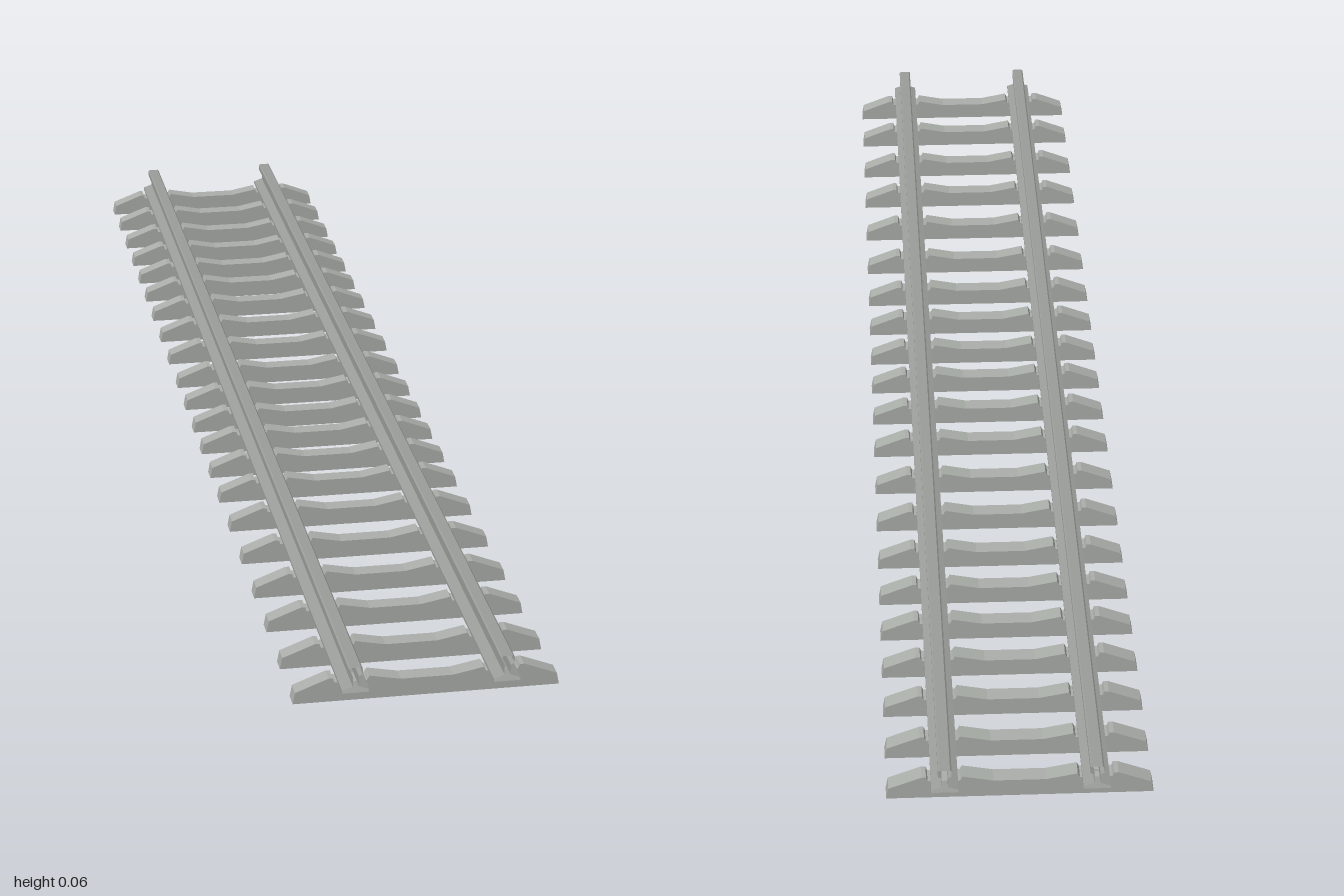
import * as THREE from 'three';

const concrete = new THREE.MeshStandardMaterial({ color: 0xa9ada8 });
concrete.name = 'concrete grey';
const steel = new THREE.MeshStandardMaterial({ color: 0x999c99, side: THREE.DoubleSide });
steel.name = 'steel grey';

// Mirror the right half of an outline (bottom to top) into a counter-clockwise loop
const mirrored = half => [...half, ...half.map(([x, y]) => [-x, y]).reverse()];

// Sleeper: raised shoulders hold each rail seat, with a dipped middle
function sleeperGeometry(width) {
  const outline = mirrored([
    [0.177, 0], [0.174, 0.016], [0.13, 0.033], [0.124, 0.033], [0.122, 0.027],
    [0.079, 0.027], [0.076, 0.033], [0.035, 0.025],
  ]);
  const shape = new THREE.Shape(outline.map(([x, y]) => new THREE.Vector2(x, y)));
  const geometry = new THREE.ExtrudeGeometry(shape, { depth: width, bevelEnabled: false });
  return geometry.translate(0, 0, -width / 2);
}

// Rail: flat foot, thin web and square head, swept along z with open ends
function railGeometry(length) {
  const outline = mirrored([
    [0.018, 0.027], [0.018, 0.031], [0.004, 0.036], [0.004, 0.05],
    [0.009, 0.053], [0.009, 0.061], [0.007, 0.063],
  ]);
  const h = length / 2;
  const positions = [];
  outline.forEach(([px, py], i) => {
    const [qx, qy] = outline[(i + 1) % outline.length];
    positions.push(px, py, h, px, py, -h, qx, qy, -h);
    positions.push(px, py, h, qx, qy, -h, qx, qy, h);
  });
  const geometry = new THREE.BufferGeometry();
  geometry.setAttribute('position', new THREE.Float32BufferAttribute(positions, 3));
  geometry.computeVertexNormals();
  return geometry;
}

export function createModel() {
  const track = new THREE.Group();
  track.name = 'railwayTrack';

  // Unevenly spaced sleepers
  const sleeperZ = [
    -0.963, -0.877, -0.786, -0.697, -0.61, -0.524, -0.434, -0.338, -0.24, -0.139, -0.048,
    0.042, 0.127, 0.217, 0.308, 0.411, 0.522, 0.634, 0.741, 0.853, 0.955,
  ];
  const sleeperGeo = sleeperGeometry(0.024);
  sleeperZ.forEach((z, i) => {
    const sleeper = new THREE.Mesh(sleeperGeo, concrete);
    sleeper.name = `sleeper${i + 1}`;
    sleeper.position.z = z;
    track.add(sleeper);
  });

  // Pair of rails
  const railGeo = railGeometry(2);
  for (const [name, x] of [['leftRail', 0.1], ['rightRail', -0.1]]) {
    const rail = new THREE.Mesh(railGeo, steel);
    rail.name = name;
    rail.position.x = x;
    track.add(rail);
  }
  return track;
}
